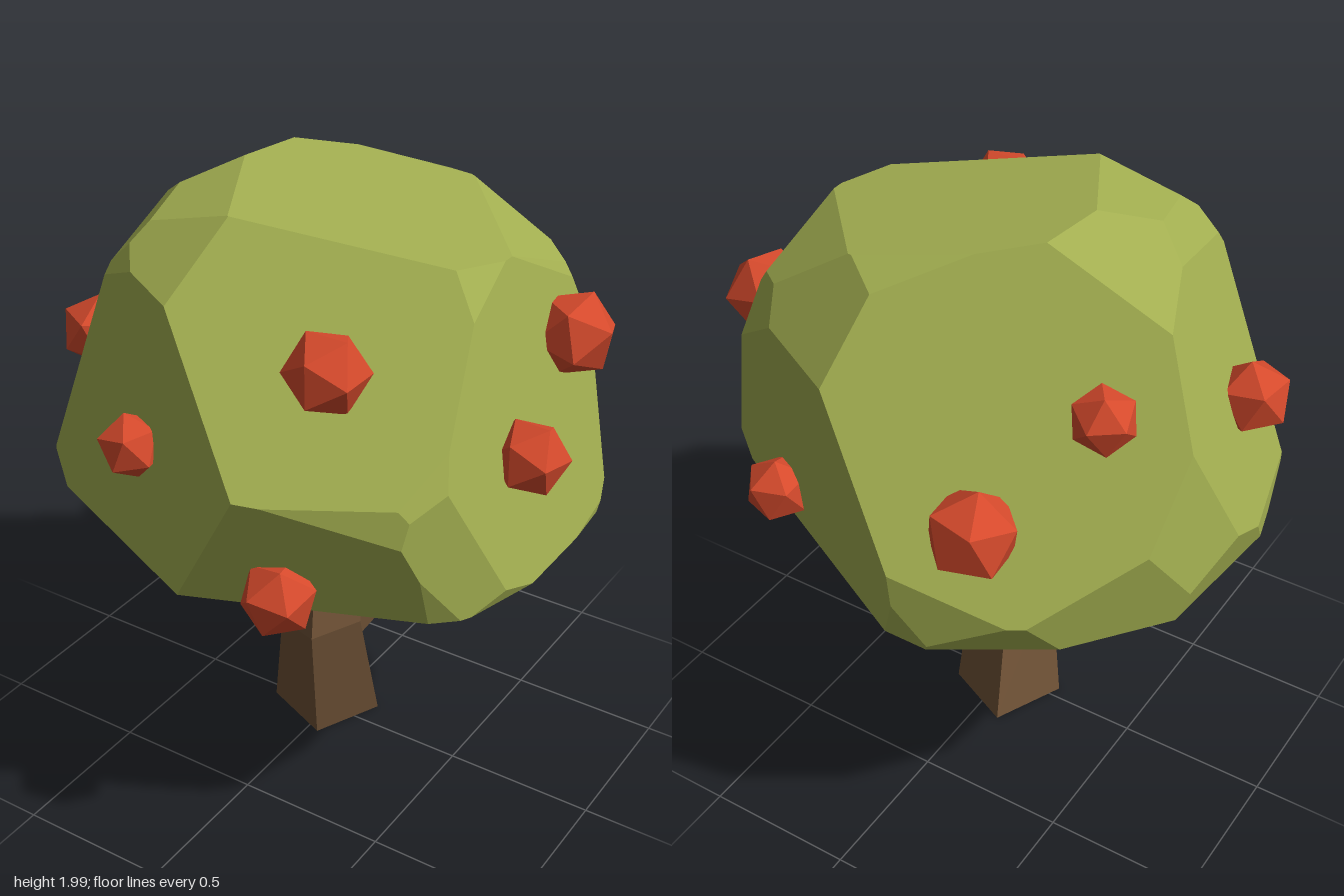
import * as THREE from 'three';

const mat = (name, color) => {
  const m = new THREE.MeshStandardMaterial({ color });
  m.name = name;
  return m;
};

// Convex solid bounded by planes {n, d}: find its corners, then fan each face
function solidFromPlanes(planes) {
  const corners = [];
  const inside = p => planes.every(q => q.n.dot(p) <= q.d + 1e-6);
  for (let i = 0; i < planes.length; i++)
    for (let j = i + 1; j < planes.length; j++) {
      const ij = planes[i].n.clone().cross(planes[j].n);
      for (let k = j + 1; k < planes.length; k++) {
        const det = ij.dot(planes[k].n);
        if (Math.abs(det) < 1e-5) continue;
        const p = ij.clone().multiplyScalar(planes[k].d)
          .addScaledVector(planes[j].n.clone().cross(planes[k].n), planes[i].d)
          .addScaledVector(planes[k].n.clone().cross(planes[i].n), planes[j].d)
          .divideScalar(det);
        if (inside(p)) corners.push(p);
      }
    }
  const pos = [];
  for (const { n, d } of planes) {
    const face = corners.filter(p => Math.abs(n.dot(p) - d) < 1e-5);
    if (face.length < 3) continue;
    const mid = face.reduce((s, p) => s.add(p), new THREE.Vector3()).divideScalar(face.length);
    const u = face[0].clone().sub(mid).normalize();
    const v = n.clone().cross(u);
    const angle = p => Math.atan2(p.clone().sub(mid).dot(v), p.clone().sub(mid).dot(u));
    face.sort((a, b) => angle(a) - angle(b));
    for (let i = 1; i < face.length - 1; i++)
      pos.push(...face[0].toArray(), ...face[i].toArray(), ...face[i + 1].toArray());
  }
  const g = new THREE.BufferGeometry();
  g.setAttribute('position', new THREE.Float32BufferAttribute(pos, 3));
  g.computeVertexNormals();
  return g;
}

// Four-sided limb through rings of corners, closed at both ends
function limb(rings) {
  const pos = [];
  const quad = (a, b, c, d) => pos.push(...a, ...b, ...c, ...a, ...c, ...d);
  for (let r = 0; r < rings.length - 1; r++)
    for (let i = 0; i < 4; i++) {
      const j = (i + 1) % 4;
      quad(rings[r][i], rings[r][j], rings[r + 1][j], rings[r + 1][i]);
    }
  const [b, t] = [rings[0], rings[rings.length - 1]];
  quad(b[3], b[2], b[1], b[0]);
  quad(t[0], t[1], t[2], t[3]);
  const g = new THREE.BufferGeometry();
  g.setAttribute('position', new THREE.Float32BufferAttribute(pos, 3));
  g.computeVertexNormals();
  return g;
}

export function createModel() {
  const tree = new THREE.Group();
  tree.name = 'fruitTree';
  const leaf = mat('leafGreen', 0xa2ae50);
  const bark = mat('barkBrown', 0x6f5236);
  const red = mat('fruitRed', 0xd64a2c);
  const add = (name, geometry, material) => {
    const m = new THREE.Mesh(geometry, material);
    m.name = name;
    tree.add(m);
    return m;
  };

  // Crown: faceted ball sliced by large flat cuts
  const cuts = [
    [0, -1, 0, 0.23],          // underside
    [0.17, 0.985, 0, 0.77],    // top
    [-0.4, 0.13, 0.91, 0.695],
    [0.36, 0.685, 0.635, 0.74],
    [0.96, 0.26, 0, 0.74],
    [0.46, -0.04, -0.89, 0.7],
    [-0.45, 0.52, -0.727, 0.705],
    [-0.9, 0.36, 0.24, 0.76],
    [0.35, -0.3, 0.88, 0.76],
  ];
  const planes = cuts.map(([x, y, z, d]) => ({ n: new THREE.Vector3(x, y, z).normalize(), d }));
  const count = 60;
  for (let i = 0; i < count; i++) {
    const y = 1 - (2 * i + 1) / count, r = Math.sqrt(1 - y * y), a = i * 2.39996;
    planes.push({ n: new THREE.Vector3(r * Math.cos(a), y, r * Math.sin(a)), d: 0.862 });
  }
  add('crown', solidFromPlanes(planes), leaf).position.y = 1.16;

  // Trunk: bent, tapering, four-sided
  add('trunk', limb([
    [[0.04, 0, 0.14], [0.145, 0, -0.09], [-0.09, 0, -0.2], [-0.2, 0, 0.04]],
    [[0.07, 0.45, 0.215], [0.15, 0.45, 0.04], [-0.02, 0.41, -0.02], [-0.1, 0.42, 0.14]],
    [[0.02, 0.97, 0.09], [0.08, 0.97, -0.05], [-0.05, 0.97, -0.11], [-0.11, 0.97, 0.02]],
  ]), bark);

  // Branch stubs
  const stub = (name, from, to, w) => {
    const a = new THREE.Vector3(...from), b = new THREE.Vector3(...to);
    const m = add(name, new THREE.BoxGeometry(w, w, a.distanceTo(b)), bark);
    m.position.copy(a).add(b).multiplyScalar(0.5);
    m.lookAt(b);
  };
  stub('frontBranch', [0, 0.54, 0.1], [-0.13, 0.64, 0.32], 0.08);
  stub('backBranch', [0.04, 0.32, 0.02], [0.11, 0.45, -0.15], 0.07);

  // Fruit: x, y, z, radius
  [
    [0.33, 1.65, 0.52, 0.13], [-0.27, 1.3, 0.66, 0.105], [-0.74, 1.38, 0.23, 0.125],
    [0.3, 1.01, 0.73, 0.12], [0.7, 1.54, -0.28, 0.14], [0.77, 1.32, 0.11, 0.12],
    [0.47, 1.06, -0.59, 0.11], [-0.33, 1.31, -0.7, 0.145], [-0.55, 1.58, -0.36, 0.105],
    [-0.65, 0.91, 0.13, 0.12], [-0.08, 0.9, -0.48, 0.13], [0.34, 0.92, -0.04, 0.11],
  ].forEach(([x, y, z, r], i) => {
    const f = add('fruit' + (i + 1), new THREE.IcosahedronGeometry(r, 0), red);
    f.position.set(x, y, z);
    f.rotation.set(i * 1.3, i * 0.7, i * 2.1);
  });
  return tree;
}
